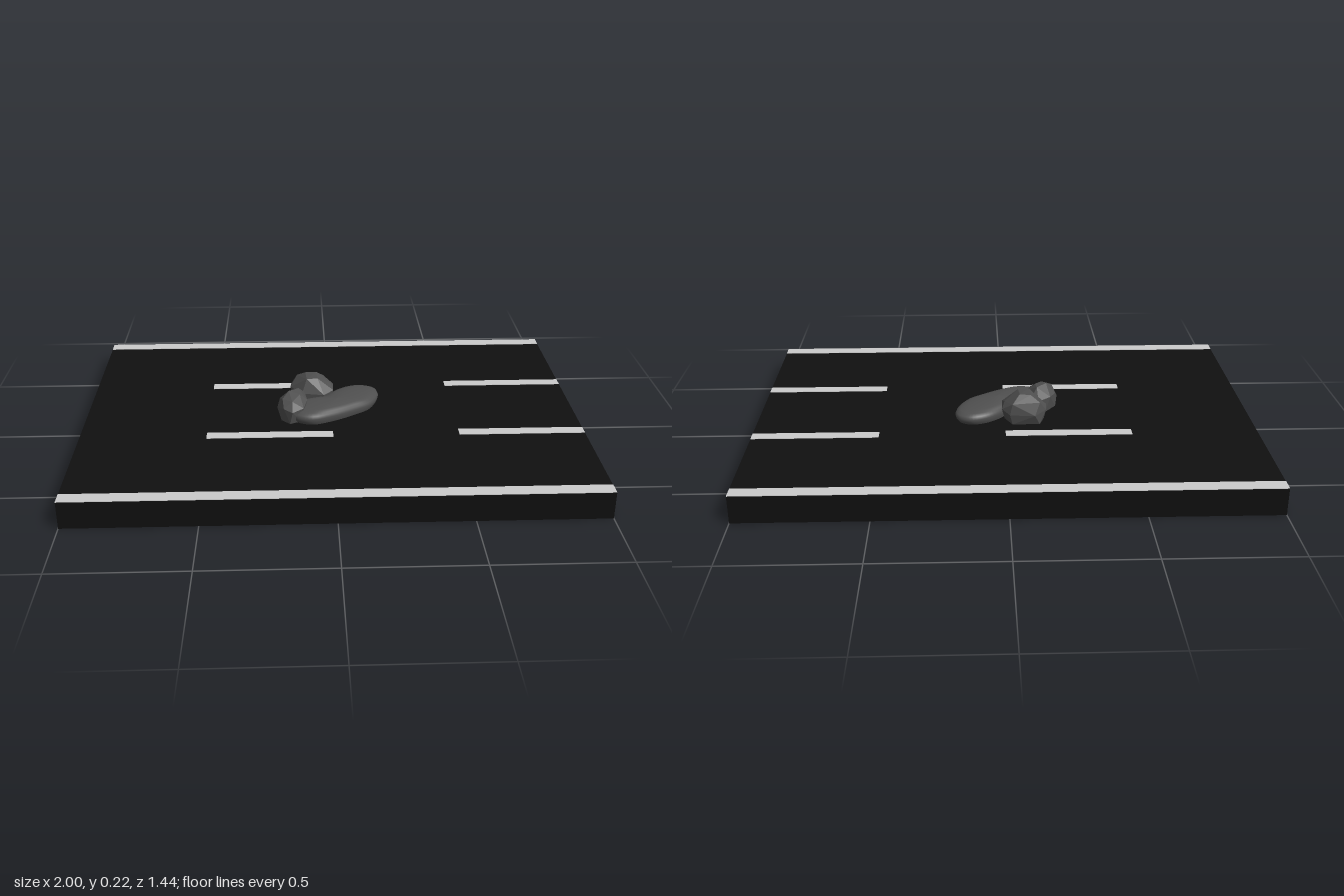
import * as THREE from 'three';
import { ConvexGeometry } from 'three/addons/geometries/ConvexGeometry.js';

const GROUND = 0.108;

function mesh(name, geometry, color, flatShading = false) {
  const m = new THREE.Mesh(geometry, new THREE.MeshStandardMaterial({ color, flatShading }));
  m.name = name;
  return m;
}

function slab(name, w, h, d, x, y, z, color) {
  const m = mesh(name, new THREE.BoxGeometry(w, h, d), color);
  m.position.set(x, y, z);
  return m;
}

// Smooth bean-shaped mound: one closed outline repeated in rings towards the crown
function moundGeometry() {
  const outline = [
    [0.2, -0.08], [0.187, -0.135], [0.14, -0.158], [0.075, -0.14], [0.015, -0.092],
    [-0.03, -0.035], [-0.1, -0.012], [-0.16, 0.02], [-0.172, 0.085], [-0.145, 0.132],
    [-0.085, 0.152], [0.0, 0.122], [0.09, 0.068], [0.165, 0.008],
  ].map(([x, z]) => new THREE.Vector3(x, 0, z));
  const loop = new THREE.CatmullRomCurve3(outline, true).getPoints(64).slice(0, 64);
  const rings = [[0.94, 0], [0.985, 0.012], [1, 0.025], [0.97, 0.037], [0.88, 0.046],
    [0.7, 0.052], [0.4, 0.056], [0.001, 0.058]];
  const cx = 0.025, cz = 0.015, n = loop.length;
  const pos = [], index = [];
  for (const [s, h] of rings) {
    for (const p of loop) {
      const x = cx + (p.x - cx) * s;
      pos.push(x, GROUND + h * (1 - 0.4 * Math.max(0, x)), cz + (p.z - cz) * s);
    }
  }
  for (let r = 0; r < rings.length - 1; r++) {
    for (let i = 0; i < n; i++) {
      const a = r * n + i, b = r * n + (i + 1) % n;
      index.push(a, b, a + n, b, b + n, a + n);
    }
  }
  const g = new THREE.BufferGeometry();
  g.setAttribute('position', new THREE.Float32BufferAttribute(pos, 3));
  g.setIndex(index);
  g.computeVertexNormals();
  return g;
}

const rock = (name, pts) =>
  mesh(name, new ConvexGeometry(pts.map((p) => new THREE.Vector3(...p))), 0x505050, true);

export function createModel() {
  const model = new THREE.Group();

  // Road bed
  model.add(slab('roadBed', 2, GROUND, 1.44, 0, GROUND / 2, 0, 0x101010));

  // Edge lines and broken lane lines
  for (const side of [-1, 1]) {
    model.add(slab('edgeLine', 2, 0.002, 0.056, 0, GROUND + 0.001, side * 0.692, 0xcccccc));
    for (const x of [-0.25, 0.75]) {
      model.add(slab('laneDash', 0.5, 0.002, 0.048, x, GROUND + 0.001,
        side < 0 ? -0.233 : 0.228, 0xcccccc));
    }
  }

  // Rubble heap
  const heap = new THREE.Group();
  heap.name = 'rubbleHeap';
  heap.add(mesh('mound', moundGeometry(), 0x505050));
  heap.add(rock('backRock', [
    [-0.14, 0.108, -0.15], [-0.03, 0.108, -0.15], [0.0, 0.108, -0.09], [-0.02, 0.108, -0.03],
    [-0.11, 0.108, -0.03], [-0.16, 0.108, -0.09],
    [-0.165, 0.165, -0.135], [-0.12, 0.15, -0.165], [-0.02, 0.15, -0.155], [0.012, 0.165, -0.125],
    [0.01, 0.17, -0.05], [-0.03, 0.165, -0.012], [-0.12, 0.165, -0.03], [-0.168, 0.17, -0.09],
    [-0.14, 0.2, -0.145], [-0.03, 0.195, -0.15], [0.0, 0.185, -0.09],
    [-0.105, 0.222, -0.12], [-0.06, 0.225, -0.115], [-0.055, 0.222, -0.055], [-0.1, 0.222, -0.05],
  ]));
  heap.add(rock('leftRock', [
    [-0.205, 0.108, 0.1], [-0.215, 0.108, 0.03], [-0.17, 0.108, -0.03], [-0.12, 0.108, -0.03],
    [-0.12, 0.108, 0.11], [-0.17, 0.108, 0.135],
    [-0.222, 0.145, 0.055], [-0.212, 0.17, 0.02], [-0.195, 0.165, 0.115], [-0.16, 0.16, 0.142],
    [-0.115, 0.165, 0.11], [-0.1, 0.175, 0.05], [-0.11, 0.17, -0.035], [-0.14, 0.165, -0.055],
    [-0.19, 0.17, -0.02], [-0.2, 0.19, 0.07],
    [-0.175, 0.209, 0.035], [-0.135, 0.205, 0.0], [-0.13, 0.2, 0.05], [-0.16, 0.19, 0.1],
  ]));
  model.add(heap);

  return model;
}
